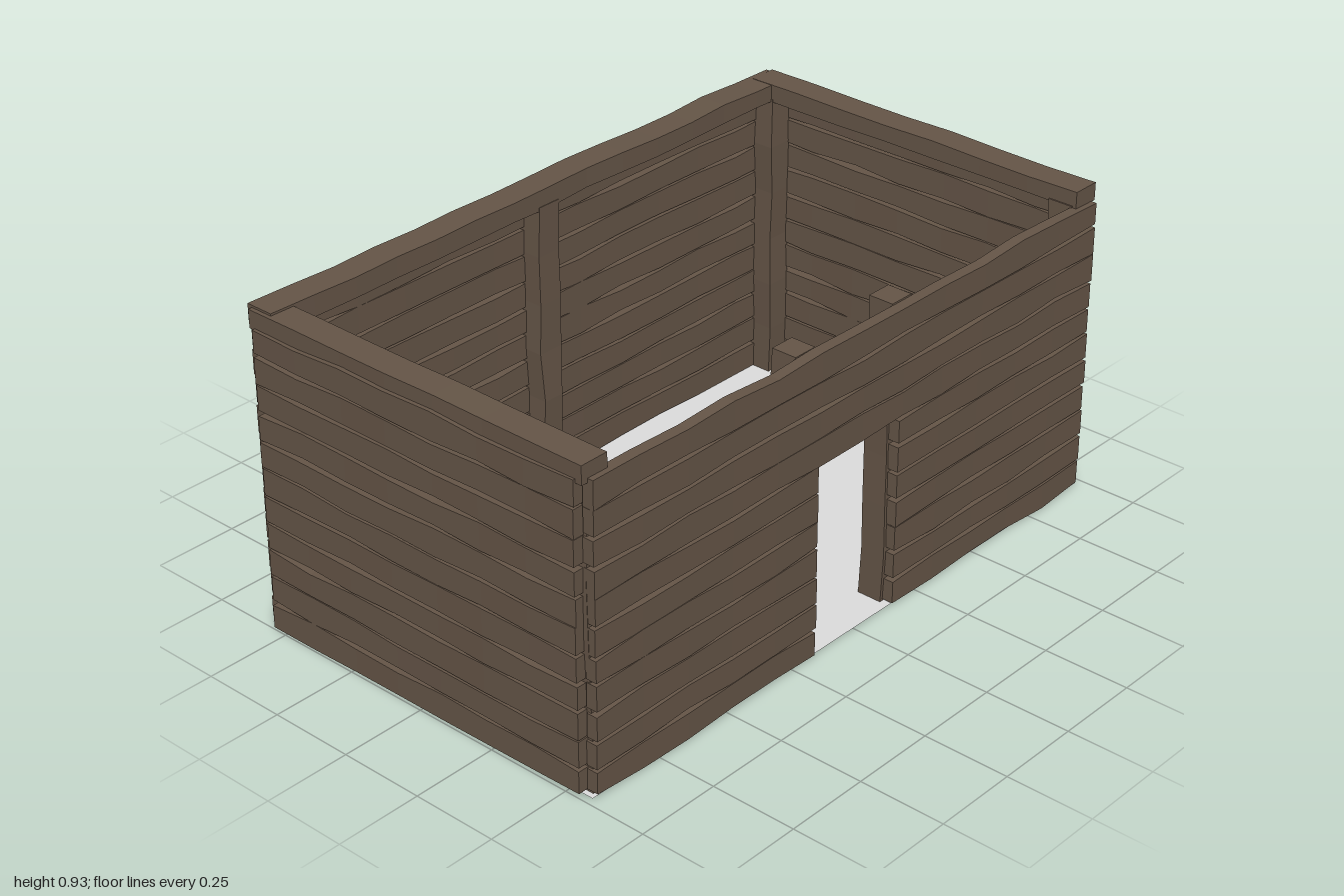
import * as THREE from 'three';

const wood = new THREE.MeshStandardMaterial({ color: 0x655547, flatShading: true });
wood.name = 'weatheredWood';
const floorGrey = new THREE.MeshStandardMaterial({ color: 0xdcdcdc, side: THREE.DoubleSide });
floorGrey.name = 'floorGrey';

export function createModel() {
  const model = new THREE.Group();
  model.name = 'plankCabin';

  // Small seeded generator, returns -1..1
  let seed = 7;
  const rand = () => {
    seed = (seed * 16807) % 2147483647;
    return (seed / 2147483647) * 2 - 1;
  };

  // Hewn timber along x: each station shifts its edges up or down and in or out
  function timber(length, height, depth, segments, wobble, sway) {
    const geo = new THREE.BoxGeometry(length, height, depth, segments, 1, 1);
    const stations = Array.from({ length: segments + 1 }, () => ({
      top: rand() * wobble, bottom: rand() * wobble, side: rand() * sway,
    }));
    const p = geo.attributes.position;
    for (let i = 0; i < p.count; i++) {
      const s = stations[Math.round((p.getX(i) / length + 0.5) * segments)];
      p.setY(i, p.getY(i) + (p.getY(i) > 0 ? s.top : s.bottom));
      p.setZ(i, p.getZ(i) + s.side);
    }
    geo.computeVertexNormals();
    return geo;
  }

  function add(parent, name, geo, x, y, z, turn = 0) {
    const mesh = new THREE.Mesh(geo, wood);
    mesh.name = name;
    mesh.position.set(x, y, z);
    mesh.rotation.y = turn;
    parent.add(mesh);
  }

  // Walls: eleven rows of planks, the front broken by a doorway
  const rows = 11, pitch = 0.08, thick = 0.033, high = 0.071;
  const walls = {};
  for (const name of ['frontWall', 'backWall', 'leftWall', 'rightWall']) {
    walls[name] = new THREE.Group();
    walls[name].name = name;
    model.add(walls[name]);
  }
  const plank = (length, segments) => timber(length, high, thick, segments, 0.0055, 0.002);
  for (let i = 0; i < rows; i++) {
    const y = 0.043 + i * pitch;
    add(walls.backWall, 'plank', plank(1.94, 12), 0, y, -0.562);
    add(walls.leftWall, 'plank', plank(1.085, 7), 0.981, y, 0, Math.PI / 2);
    add(walls.rightWall, 'plank', plank(1.085, 7), -0.981, y, 0, Math.PI / 2);
    if (i < 7) {
      add(walls.frontWall, 'plank', plank(0.805, 5), -0.5675, y, 0.562);
      add(walls.frontWall, 'plank', plank(0.82, 5), 0.56, y, 0.562);
    } else {
      add(walls.frontWall, 'plank', plank(1.94, 12), 0, y, 0.562);
    }
  }

  // Upright posts at the corners, beside the doorway and mid back
  const posts = [
    ['cornerPost', -0.93, 0.517], ['cornerPost', 0.93, 0.517],
    ['cornerPost', -0.93, -0.52], ['cornerPost', 0.93, -0.52],
    ['doorPost', -0.192, 0.51], ['doorPost', 0.182, 0.51],
    ['backPost', -0.012, -0.525],
  ];
  for (const [name, x, z] of posts) {
    const geo = timber(0.88, 0.074, 0.074, 6, 0.005, 0.004);
    geo.rotateZ(Math.PI / 2);
    add(model, name, geo, x, 0.441, z);
  }

  // Top beams along the back and both sides
  add(model, 'backBeam', timber(1.95, 0.055, 0.085, 14, 0.004, 0.003), 0, 0.899, -0.533);
  for (const s of [-1, 1]) {
    add(model, 'sideBeam', timber(1.125, 0.05, 0.085, 7, 0.003, 0.004),
      s * 0.943, 0.897, 0, Math.PI / 2);
  }

  // Floor sheet
  const floor = new THREE.Mesh(new THREE.PlaneGeometry(1.96, 1.14), floorGrey);
  floor.name = 'floor';
  floor.rotation.x = -Math.PI / 2;
  floor.position.y = 0.003;
  model.add(floor);

  return model;
}
